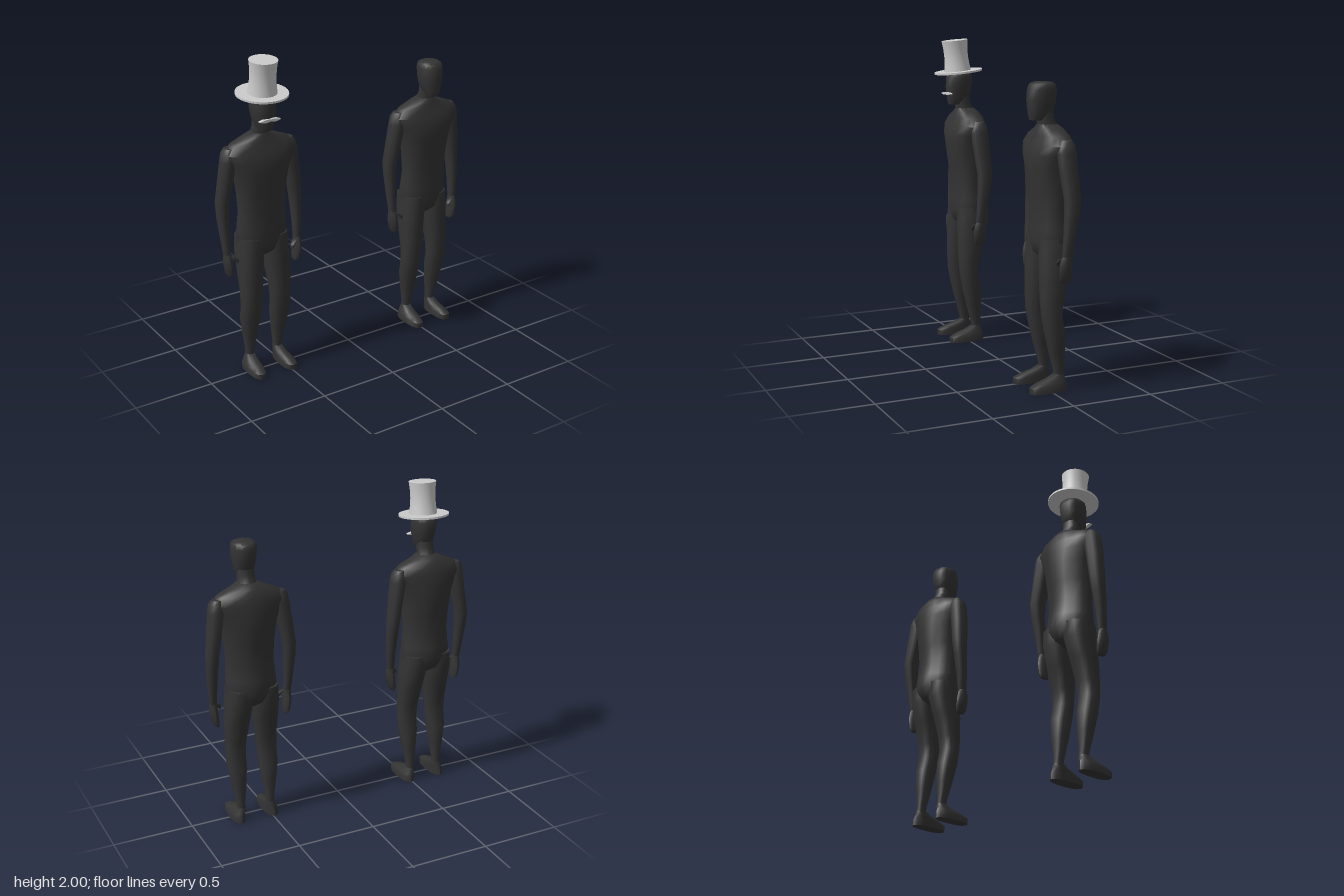
import * as THREE from 'three';
import { toCreasedNormals } from 'three/addons/utils/BufferGeometryUtils.js';

const skin = new THREE.MeshStandardMaterial({ color: 0x333333 });
const grey = new THREE.MeshStandardMaterial({ color: 0xcccccc });

// Signed power, used to square off or sharpen a cross-section
const spow = (v, e) => Math.sign(v) * Math.pow(Math.abs(v), e);

// Capped loft through horizontal rings [y, centre x, half width, front z, back z], bottom to top
function loft(rings, { n = 12, front = 0.85, back = 0.85, side = 1 } = {}) {
  const pos = [], idx = [];
  for (const [y, cx, rx, zf, zb] of rings) {
    for (let j = 0; j < n; j++) {
      const a = (j / n) * Math.PI * 2, c = Math.cos(a), e = c >= 0 ? front : back;
      pos.push(side * cx + rx * spow(Math.sin(a), e), y, (zf + zb) / 2 + ((zf - zb) / 2) * spow(c, e));
    }
  }
  const m = rings.length, bottom = m * n, top = bottom + 1;
  for (const [y, cx, , zf, zb] of [rings[0], rings[m - 1]]) pos.push(side * cx, y, (zf + zb) / 2);
  for (let j = 0; j < n; j++) {
    const k = (j + 1) % n;
    for (let i = 0; i < m - 1; i++) {
      const a = i * n + j, b = i * n + k;
      idx.push(a, b, b + n, a, b + n, a + n);
    }
    idx.push(bottom, k, j, top, (m - 1) * n + j, (m - 1) * n + k);
  }
  const g = new THREE.BufferGeometry();
  g.setAttribute('position', new THREE.Float32BufferAttribute(pos, 3));
  g.setIndex(idx);
  return toCreasedNormals(g, 0.9);
}

function add(group, name, geometry, material = skin) {
  const mesh = new THREE.Mesh(geometry, material);
  mesh.name = name;
  group.add(mesh);
  return mesh;
}

const TORSO = [
  [0.77, 0, 0.03, 0.0, -0.08], [0.81, 0, 0.14, 0.05, -0.14], [0.88, 0, 0.163, 0.06, -0.167],
  [0.96, 0, 0.157, 0.058, -0.155], [1.06, 0, 0.15, 0.056, -0.138], [1.18, 0, 0.157, 0.068, -0.15],
  [1.3, 0, 0.175, 0.083, -0.16], [1.38, 0, 0.205, 0.086, -0.157], [1.44, 0, 0.235, 0.068, -0.15],
  [1.49, 0, 0.19, 0.048, -0.138], [1.525, 0, 0.1, 0.04, -0.118], [1.55, 0, 0.055, 0.032, -0.085],
];
const NECK = [
  [1.5, 0, 0.065, 0.035, -0.11], [1.55, 0, 0.055, 0.032, -0.078],
  [1.59, 0, 0.052, 0.04, -0.055], [1.65, 0, 0.05, 0.04, -0.055],
];
const HEAD = [
  [1.575, 0, 0.038, 0.083, 0.0], [1.6, 0, 0.05, 0.09, -0.04], [1.64, 0, 0.061, 0.094, -0.062],
  [1.69, 0, 0.069, 0.098, -0.071], [1.75, 0, 0.073, 0.092, -0.075],
  [1.778, 0, 0.069, 0.08, -0.066], [1.79, 0, 0.052, 0.055, -0.042],
];
const ARM = [
  [0.82, 0.241, 0.022, -0.003, -0.06], [0.93, 0.246, 0.028, -0.008, -0.078],
  [1.05, 0.248, 0.035, -0.012, -0.1], [1.14, 0.245, 0.039, -0.012, -0.113],
  [1.3, 0.221, 0.045, 0.006, -0.104], [1.4, 0.205, 0.048, 0.014, -0.1],
  [1.445, 0.199, 0.047, 0.01, -0.095], [1.475, 0.193, 0.033, -0.01, -0.08],
];
const HAND = [
  [0.668, 0.226, 0.013, -0.005, -0.06], [0.69, 0.231, 0.02, 0.01, -0.07], [0.76, 0.239, 0.025, 0.013, -0.07],
  [0.8, 0.24, 0.023, 0.006, -0.062], [0.825, 0.241, 0.021, -0.004, -0.058],
];
const THUMB = [
  [0.762, 0.19, 0.007, 0.012, -0.012], [0.782, 0.193, 0.012, 0.014, -0.018],
  [0.8, 0.212, 0.014, 0.008, -0.028], [0.808, 0.228, 0.012, 0.0, -0.035],
];
const LEG = [
  [0.085, 0.098, 0.026, -0.028, -0.092], [0.12, 0.098, 0.025, -0.026, -0.09],
  [0.24, 0.1, 0.044, 0.006, -0.092], [0.36, 0.103, 0.06, 0.034, -0.088],
  [0.45, 0.102, 0.062, 0.05, -0.068], [0.54, 0.099, 0.065, 0.057, -0.078],
  [0.68, 0.092, 0.075, 0.06, -0.114], [0.8, 0.084, 0.081, 0.06, -0.15], [0.9, 0.08, 0.08, 0.055, -0.15],
];
const FOOT = [
  [0, 0.11, 0.044, 0.133, -0.11], [0.035, 0.11, 0.044, 0.135, -0.108],
  [0.055, 0.106, 0.039, 0.088, -0.103], [0.075, 0.101, 0.032, 0.022, -0.098],
  [0.1, 0.098, 0.024, -0.028, -0.09],
];

function makeFigure(name) {
  const figure = new THREE.Group();
  figure.name = name;
  add(figure, 'torso', loft(TORSO, { n: 16, front: 0.8, back: 1.15 }));
  add(figure, 'neck', loft(NECK));
  add(figure, 'head', loft(HEAD, { front: 0.75, back: 0.85 }));
  for (const [label, side] of [['left', 1], ['right', -1]]) {
    add(figure, label + 'Arm', loft(ARM, { n: 10, side }));
    add(figure, label + 'Hand', loft(HAND, { n: 8, side }));
    add(figure, label + 'Thumb', loft(THUMB, { n: 8, side }));
    add(figure, label + 'Leg', loft(LEG, { side }));
    add(figure, label + 'Foot', loft(FOOT, { side, front: 0.75 }));
  }
  return figure;
}

// Tall hat with a waisted crown, tipped slightly forward
function makeHat() {
  const hat = new THREE.Group();
  hat.name = 'topHat';
  add(hat, 'brim', new THREE.CylinderGeometry(0.156, 0.156, 0.012, 32), grey);
  const profile = [[0.088, 0], [0.081, 0.05], [0.077, 0.1], [0.079, 0.155], [0.085, 0.204], [0, 0.204]]
    .map(([r, y]) => new THREE.Vector2(r, y));
  const crown = toCreasedNormals(new THREE.LatheGeometry(profile, 32), 0.7);
  add(hat, 'crown', crown, grey).position.z = 0.006;
  hat.position.set(0, 1.788, 0.015);
  hat.rotation.x = 0.1;
  return hat;
}

// Thin moustache with tapering tips
function makeMoustache() {
  const s = new THREE.Shape();
  s.moveTo(-0.07, 1.646);
  s.quadraticCurveTo(-0.03, 1.658, 0, 1.654);
  s.quadraticCurveTo(0.03, 1.658, 0.07, 1.646);
  s.quadraticCurveTo(0.03, 1.63, 0, 1.642);
  s.quadraticCurveTo(-0.03, 1.63, -0.07, 1.646);
  const g = new THREE.ExtrudeGeometry(s, { depth: 0.026, bevelEnabled: false, curveSegments: 6 });
  return g.translate(0, 0, 0.083);
}

export function createModel() {
  const model = new THREE.Group();
  model.name = 'twoFigures';
  const hatted = makeFigure('hattedFigure');
  hatted.add(makeHat());
  add(hatted, 'moustache', makeMoustache(), grey);
  hatted.position.x = -0.6;
  const plain = makeFigure('plainFigure');
  plain.position.x = 0.6;
  model.add(hatted, plain);
  return model;
}
